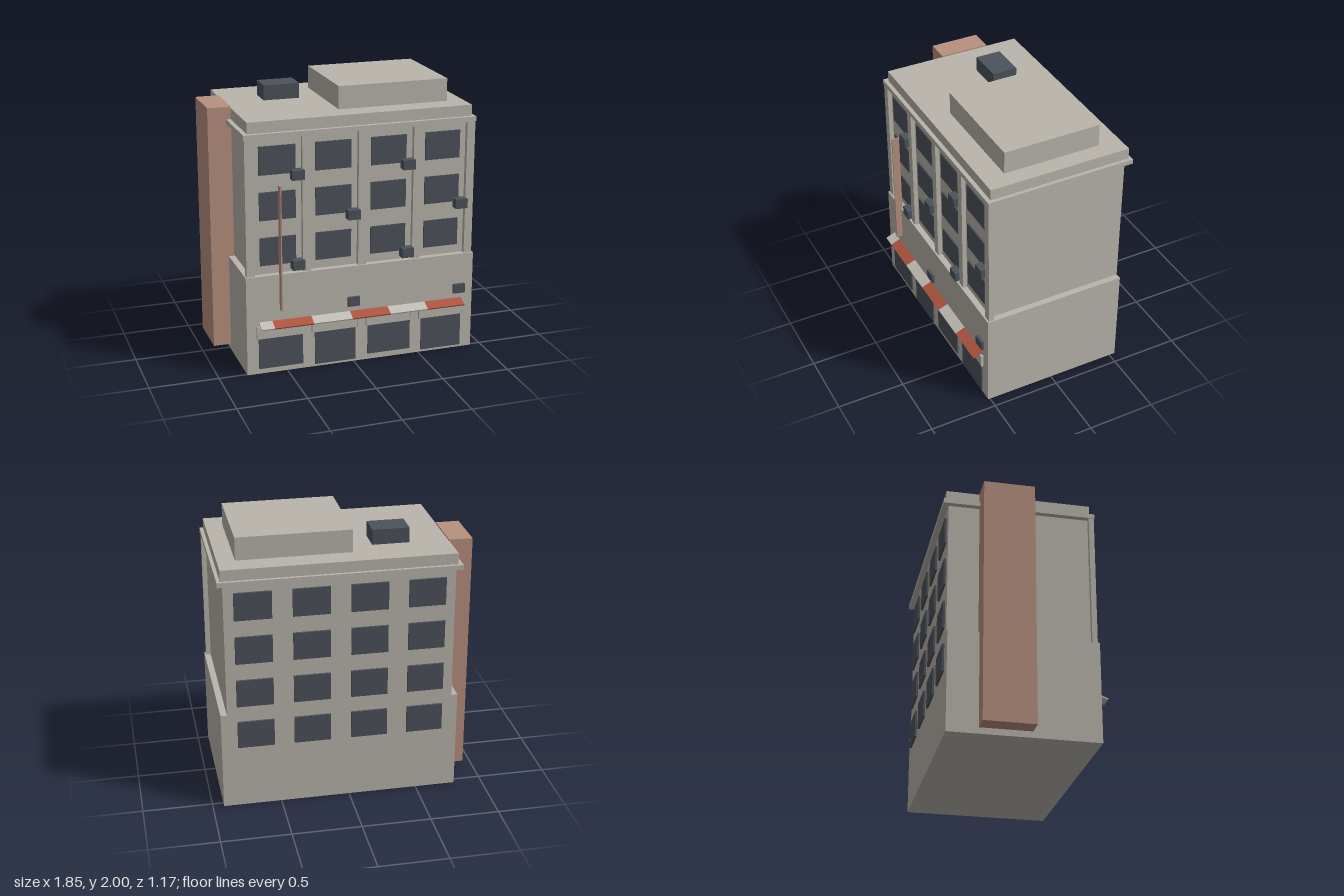
import * as THREE from 'three';

const mat = (name, color) => {
  const m = new THREE.MeshStandardMaterial({ color });
  m.name = name;
  return m;
};

export function createModel() {
  const model = new THREE.Group();
  model.name = 'cornerBuilding';
  const stone = mat('stone', 0xbab5ad);
  const dark = mat('darkGlass', 0x4d535b);
  const brick = mat('brick', 0xb8917f);
  const red = mat('awningRed', 0xb05541);
  const cream = mat('awningCream', 0xc2beb6);

  // Box given by its extents on each axis
  const box = (name, m, x0, x1, y0, y1, z0, z1, parent = model) => {
    const mesh = new THREE.Mesh(new THREE.BoxGeometry(x1 - x0, y1 - y0, z1 - z0), m);
    mesh.position.set((x0 + x1) / 2, (y0 + y1) / 2, (z0 + z1) / 2);
    mesh.name = name;
    parent.add(mesh);
    return mesh;
  };
  const group = (name) => {
    const g = new THREE.Group();
    g.name = name;
    model.add(g);
    return g;
  };

  // Main masses
  box('groundFloor', stone, -0.795, 0.92, 0, 0.735, -0.545, 0.515);
  box('upperFloors', stone, -0.75, 0.875, 0.735, 1.72, -0.545, 0.47);
  box('cornice', stone, -0.79, 0.915, 1.72, 1.755, -0.585, 0.508);
  box('parapet', stone, -0.757, 0.89, 1.755, 1.835, -0.563, 0.478);
  box('penthouse', stone, -0.05, 0.765, 1.835, 2, -0.4, 0.315);
  box('roofUnit', dark, -0.475, -0.21, 1.835, 1.945, -0.29, -0.105);
  box('chimney', brick, -0.925, -0.755, 0.045, 1.845, -0.325, 0.04);

  // Pilasters between the window bays
  const pilasters = group('pilasters');
  [[-0.785, -0.725], [-0.375, -0.315], [0.035, 0.095], [0.445, 0.505], [0.85, 0.91]].forEach(([a, b]) =>
    box('pilaster', stone, a, b, 0.735, 1.72, 0.465, 0.503, pilasters));

  // Windows: three rows in front, four at the back
  const windows = group('windows');
  const columns = [-0.549, -0.142, 0.267, 0.673];
  [0.475, 0.8, 1.13, 1.457].forEach((y, row) => {
    for (const x of columns) {
      if (row > 0) box('frontWindow', dark, x - 0.131, x + 0.131, y, y + 0.203, 0.465, 0.482, windows);
      box('backWindow', dark, x - 0.131, x + 0.131, y, y + 0.203, -0.56, -0.54, windows);
    }
  });

  // Air conditioners in a staggered pattern
  const coolers = group('airConditioners');
  [0.47, 0.793, 1.122, 1.45].forEach((y, row) => {
    for (const x of row % 2 ? [-0.411, 0.404] : [-0.004, 0.811]) {
      box('airConditioner', dark, x - 0.045, x + 0.045, y - 0.035, y + 0.035, 0.468, 0.535, coolers);
    }
  });

  // Shop fronts with shutter housings
  const shops = group('shopFronts');
  [[-0.71, -0.385, 0.04], [-0.295, 0.01, 0.02], [0.105, 0.43, 0.045], [0.52, 0.83, 0.02]].forEach(([a, b, y], i) => {
    const c = columns[i];
    box('shopWindow', dark, a, b, y, 0.31, 0.51, 0.525, shops);
    box('shutterHousing', stone, c - 0.163, c + 0.163, 0.27, 0.355, 0.51, 0.53, shops);
    for (const s of [-1, 1]) {
      const e = c + s * 0.169;
      box('housingEnd', stone, e - 0.007, e + 0.007, 0.27, 0.365, 0.51, 0.535, shops);
    }
  });

  // Striped sloping awning
  const awning = group('awning');
  const stripes = [-0.705, -0.608, -0.32, -0.03, 0.257, 0.545, 0.833];
  for (let i = 0; i < 6; i++) {
    const strip = box('awningStripe', i % 2 ? red : cream, stripes[i], stripes[i + 1], 0.37, 0.38, 0.51, 0.59, awning);
    strip.rotation.x = 0.38;
  }

  // Projecting blade sign
  box('bladeSign', brick, -0.552, -0.543, 0.475, 1.388, 0.505, 0.562);

  return model;
}
